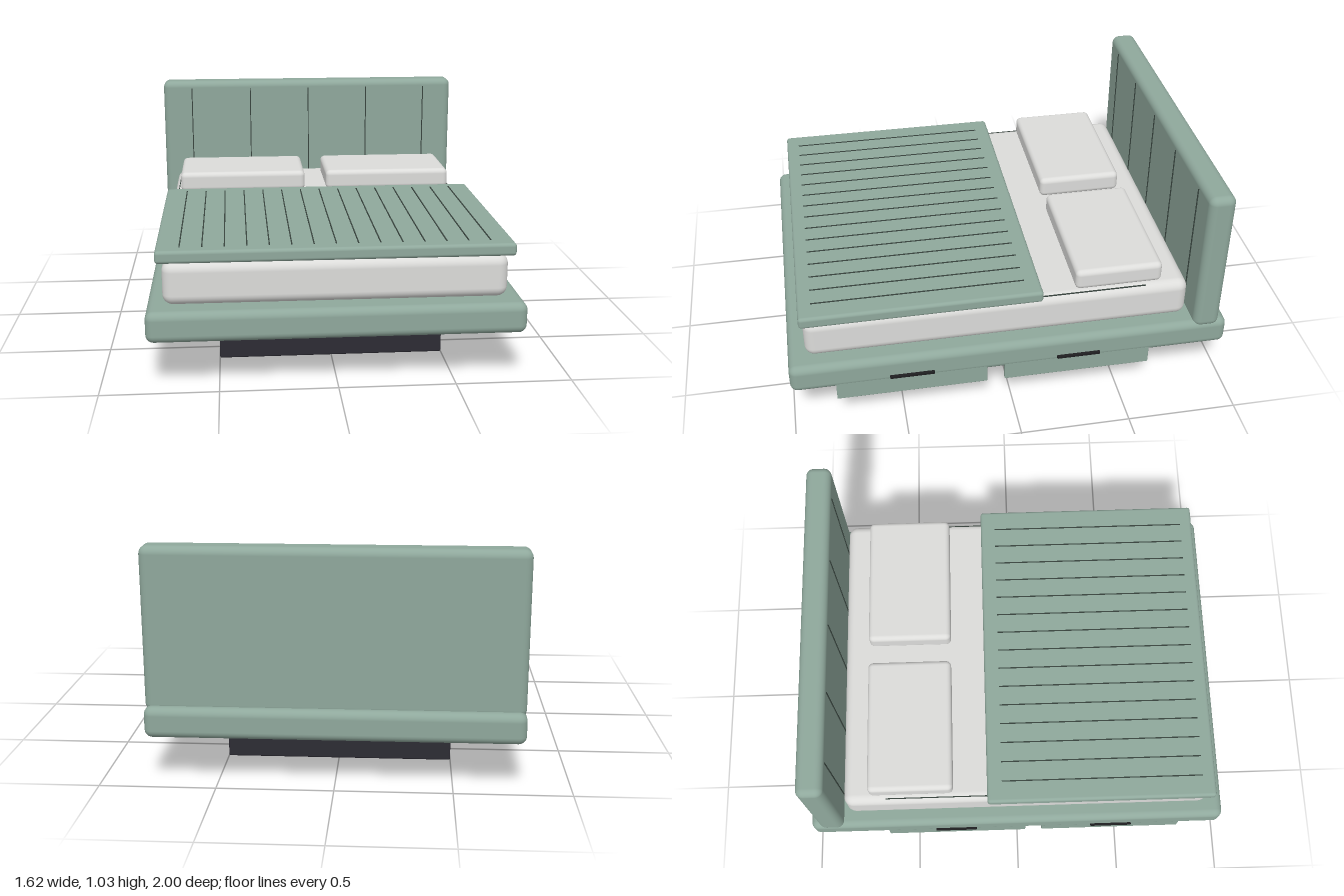
import * as THREE from 'three';
import { RoundedBoxGeometry } from 'three/addons/geometries/RoundedBoxGeometry.js';

const paint = (name, color) => {
  const m = new THREE.MeshStandardMaterial({ color });
  m.name = name;
  return m;
};

export function createModel() {
  const bed = new THREE.Group();
  bed.name = 'bed';
  const sage = paint('sage fabric', 0x8fa89c);
  const linen = paint('white linen', 0xdcdcda);
  const charcoal = paint('charcoal plinth', 0x2d2c34);
  const black = paint('black metal', 0x1e1e20);
  const seamColor = paint('dark seam', 0x38443e);

  // Box given by its low and high limits on each axis; r rounds the edges
  const box = (name, material, [x0, x1], [y0, y1], [z0, z1], r = 0) => {
    const size = [x1 - x0, y1 - y0, z1 - z0];
    const geometry = r
      ? new RoundedBoxGeometry(...size, 4, r)
      : new THREE.BoxGeometry(...size);
    const mesh = new THREE.Mesh(geometry, material);
    mesh.name = name;
    mesh.position.set((x0 + x1) / 2, (y0 + y1) / 2, (z0 + z1) / 2);
    bed.add(mesh);
    return mesh;
  };
  const mirrored = (side, a, b) => (side > 0 ? [a, b] : [-b, -a]);

  // Base
  box('plinth', charcoal, [-0.5, 0.5], [0, 0.17], [-0.64, 0.64], 0.008);
  box('frame', sage, [-0.8, 0.8], [0.215, 0.35], [-1, 1], 0.035);

  // Headboard with vertical channels
  box('headboard', sage, [-0.8, 0.8], [0.32, 1.03], [-0.96, -0.84], 0.035);
  for (let i = -2; i <= 2; i++) {
    const x = i * 0.3225;
    box('headboardSeam', seamColor, [x - 0.0025, x + 0.0025], [0.36, 0.99], [-0.842, -0.836]);
  }

  // Bedding
  box('mattress', linen, [-0.73, 0.73], [0.35, 0.54], [-0.82, 0.92], 0.045);
  box('blanket', sage, [-0.755, 0.755], [0.54, 0.595], [-0.14, 0.935], 0.015);
  for (let i = -7; i <= 7; i++) {
    const x = i * 0.0935;
    box('blanketSeam', seamColor, [x - 0.0025, x + 0.0025], [0.592, 0.598], [-0.07, 0.875]);
  }

  for (const side of [1, -1]) {
    box('pillow', linen, mirrored(side, 0.055, 0.695), [0.535, 0.635], [-0.7, -0.3], 0.025);
    box('mattressPiping', seamColor, mirrored(side, 0.706, 0.71), [0.53, 0.537], [-0.62, 0.71]);
    // Two drawers on each long side, each with a bar handle
    for (const [z0, z1, handleZ] of [[0.12, 0.8, 0.46], [-0.635, 0.04, -0.3]]) {
      box('drawer', sage, mirrored(side, 0.778, 0.798), [0.15, 0.3], [z0, z1], 0.004);
      box('drawerHandle', black, mirrored(side, 0.795, 0.81), [0.242, 0.258], [handleZ - 0.1, handleZ + 0.1], 0.004);
    }
  }
  return bed;
}
